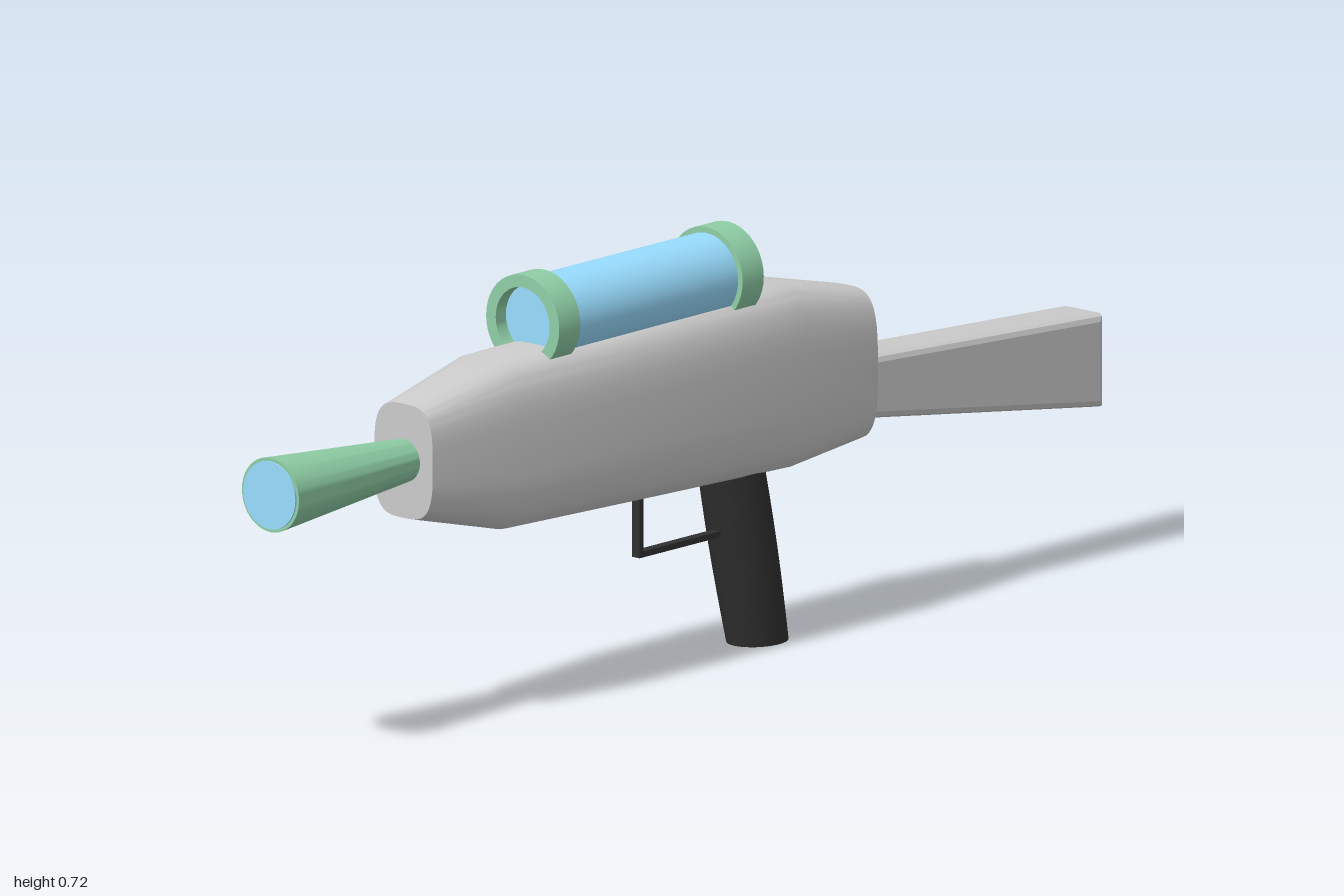
import * as THREE from 'three';
import { toCreasedNormals } from 'three/addons/utils/BufferGeometryUtils.js';

const mat = (color) => new THREE.MeshStandardMaterial({ color });

export function createModel() {
  const group = new THREE.Group();
  const grey = mat(0xcccccc), green = mat(0x8fcfa6), blue = mat(0x99ddff), black = mat(0x303030);

  const add = (name, geometry, material, x = 0, y = 0, z = 0) => {
    const mesh = new THREE.Mesh(geometry, material);
    mesh.name = name;
    mesh.position.set(x, y, z);
    group.add(mesh);
    return mesh;
  };
  // Lathe profile [radius, z] turned about the z axis
  const turned = (profile) => toCreasedNormals(
    new THREE.LatheGeometry(profile.map(([r, z]) => new THREE.Vector2(r, z)), 40).rotateX(Math.PI / 2), 0.6);

  // Body: squarish oval sections lofted from back to front
  add('body', bodyGeometry([
    // z, bottom, top, half width
    [-0.42, 0.303, 0.558, 0.068],
    [-0.23, 0.288, 0.603, 0.088],
    [0.10, 0.298, 0.600, 0.089],
    [0.47, 0.310, 0.596, 0.088],
    [0.67, 0.361, 0.553, 0.064],
  ]), grey);

  // Flared barrel with a lens in its mouth
  add('barrel', turned([[0, 0.62], [0.033, 0.62], [0.036, 0.67], [0.0625, 0.997], [0.057, 0.997], [0, 0.99]]), green, 0, 0.458, 0);
  add('barrelLens', turned([[0.057, 0.98], [0.057, 1], [0, 1]]), blue, 0, 0.458, 0);

  // Scope: tube held between two open end rings
  const scopeY = 0.637;
  add('scopeTube', turned([[0, -0.1], [0.07, -0.1], [0.07, 0.352], [0, 0.352]]), blue, 0, scopeY, 0);
  for (const [name, z] of [['scopeFrontRing', 0.351], ['scopeRearRing', -0.1]]) {
    const h = 0.026;
    add(name, turned([[0.059, -h], [0.08, -h], [0.08, h], [0.059, h], [0.059, -h]]), green, 0, scopeY, z);
  }

  // Grip: slightly bulged cylinder leaning back towards its foot
  const grip = new THREE.CylinderGeometry(1, 1, 0.34, 32, 8).translate(0, 0.17, 0);
  const p = grip.attributes.position;
  for (let i = 0; i < p.count; i++) {
    const y = p.getY(i), t = y / 0.34;
    const bulge = 0.006 * Math.sin(Math.PI * t);
    p.setX(i, p.getX(i) * (0.047 + 0.003 * t + bulge));
    p.setZ(i, p.getZ(i) * (0.056 + 0.004 * t) - 0.2 + 0.215 * y);
  }
  add('grip', toCreasedNormals(grip.toNonIndexed(), 0.7), black);

  // Trigger guard: a drop bar and a bar running back to the grip
  add('guardFront', new THREE.BoxGeometry(0.017, 0.12, 0.01), black, 0, 0.252, 0.094);
  add('guardBottom', new THREE.BoxGeometry(0.017, 0.01, 0.23), black, 0, 0.197, -0.016);

  // Stock: tapered side profile with bevelled edges
  const b = 0.012;
  const side = new THREE.Shape([
    [0.425 + b, 0.337 + b], [1 - b, 0.256 + b], [1 - b, 0.413 - b], [0.425 + b, 0.443 - b],
  ].map(([z, y]) => new THREE.Vector2(z, y)));
  const stock = new THREE.ExtrudeGeometry(side, {
    depth: 0.098 - 2 * b, bevelEnabled: true, bevelSize: b, bevelThickness: b, bevelSegments: 2,
  });
  stock.translate(0, 0, b - 0.049).rotateY(Math.PI / 2);
  add('stock', stock, grey);

  return group;
}

function bodyGeometry(sections) {
  const n = 56, pos = [], idx = [];
  const power = (v) => Math.sign(v) * Math.abs(v) ** (2 / 3.4);
  for (const [z, y0, y1, w] of sections) {
    for (let i = 0; i < n; i++) {
      const a = (i / n) * Math.PI * 2;
      pos.push(w * power(Math.cos(a)), (y0 + y1) / 2 + ((y1 - y0) / 2) * power(Math.sin(a)), z);
    }
  }
  const last = sections.length - 1, base = pos.length / 3;
  // Cap centres
  for (const [z, y0, y1] of [sections[0], sections[last]]) pos.push(0, (y0 + y1) / 2, z);
  for (let i = 0; i < n; i++) {
    const j = (i + 1) % n;
    for (let s = 0; s < last; s++) {
      const a = s * n + i, b = s * n + j;
      idx.push(a, b, b + n, a, b + n, a + n);
    }
    idx.push(base, j, i, base + 1, last * n + i, last * n + j);
  }
  const g = new THREE.BufferGeometry();
  g.setAttribute('position', new THREE.Float32BufferAttribute(pos, 3));
  g.setIndex(idx);
  return toCreasedNormals(g.toNonIndexed(), 0.8);
}
